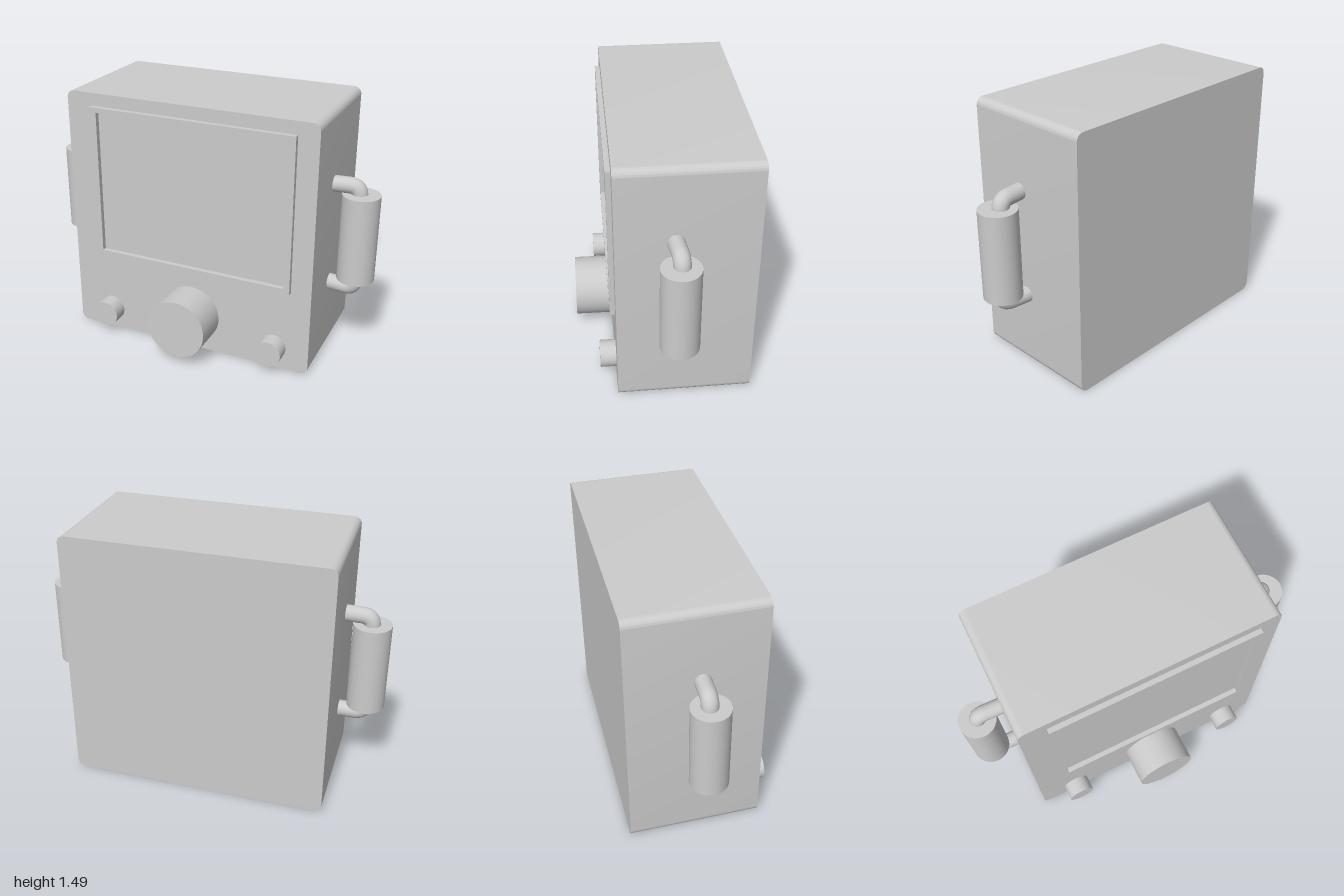
import * as THREE from 'three';
import { toCreasedNormals } from 'three/addons/utils/BufferGeometryUtils.js';

const grey = new THREE.MeshStandardMaterial({ color: 0xcccccc });

function add(parent, name, geometry, x = 0, y = 0, z = 0) {
  const mesh = new THREE.Mesh(geometry, grey);
  mesh.name = name;
  mesh.position.set(x, y, z);
  parent.add(mesh);
  return mesh;
}

// Rectangle outline with rounded corners
function roundedRect(x0, y0, x1, y1, r) {
  const s = new THREE.Shape();
  s.absarc(x1 - r, y0 + r, r, -Math.PI / 2, 0);
  s.absarc(x1 - r, y1 - r, r, 0, Math.PI / 2);
  s.absarc(x0 + r, y1 - r, r, Math.PI / 2, Math.PI);
  s.absarc(x0 + r, y0 + r, r, Math.PI, Math.PI * 1.5);
  s.closePath();
  return s;
}

const rectPoints = (x0, y0, x1, y1) =>
  [[x0, y0], [x1, y0], [x1, y1], [x0, y1]].map(([x, y]) => new THREE.Vector2(x, y));

// Round control sticking out of the front panel
function addKnob(parent, name, x, y, radius, frontZ, tilt) {
  const backZ = 0.24;
  const geo = new THREE.CylinderGeometry(radius, radius, frontZ - backZ, 32);
  geo.rotateX(Math.PI / 2);
  add(parent, name, geo, x, y, (frontZ + backZ) / 2).rotation.x = tilt;
}

// Bent rod running out from the case wall and turning into the grip
function rodGeometry(wall, corner, end) {
  const bend = 0.055;
  const toward = (a, b) => a.clone().add(b.clone().sub(a).setLength(bend));
  const p = toward(corner, wall);
  const q = toward(corner, end);
  const path = new THREE.CurvePath();
  path.add(new THREE.LineCurve3(wall, p));
  path.add(new THREE.QuadraticBezierCurve3(p, corner, q));
  path.add(new THREE.LineCurve3(q, end));
  return new THREE.TubeGeometry(path, 28, 0.046, 20, false);
}

function addHandle(parent, name, side, gripX, gripZ, rods) {
  const handle = new THREE.Group();
  handle.name = name;
  add(handle, 'grip', new THREE.CylinderGeometry(0.106, 0.106, 0.512, 32), side * gripX, 0.757, gripZ);
  for (const { part, y, endY, x, wallZ, endZ } of rods) {
    const wall = new THREE.Vector3(side * 0.7, y, wallZ);
    const corner = new THREE.Vector3(side * x, y, endZ);
    const end = new THREE.Vector3(side * x, endY, endZ);
    add(handle, part, rodGeometry(wall, corner, end));
  }
  parent.add(handle);
}

export function createModel() {
  const model = new THREE.Group();
  model.name = 'consoleMonitor';

  // Case, rounded along its four long edges
  const caseGeo = new THREE.ExtrudeGeometry(roundedRect(-0.748, 0, 0.74, 1.485, 0.042), {
    depth: 0.747, bevelEnabled: false, curveSegments: 8,
  });
  add(model, 'case', toCreasedNormals(caseGeo, 0.6), 0, 0, -0.481);

  // Raised rim around the screen
  const rim = new THREE.Shape(rectPoints(-0.595, 0.502, 0.622, 1.411));
  rim.holes.push(new THREE.Path(rectPoints(-0.552, 0.532, 0.584, 1.383).reverse()));
  add(model, 'screenRim', new THREE.ExtrudeGeometry(rim, { depth: 0.04, bevelEnabled: false }), 0, 0, 0.254);

  // Dials
  addKnob(model, 'mainDial', 0.016, 0.225, 0.175, 0.479, -0.015);
  addKnob(model, 'rightKnob', -0.52, 0.132, 0.077, 0.357, 0);
  addKnob(model, 'leftKnob', 0.529, 0.132, 0.077, 0.357, 0);

  // Side handles
  addHandle(model, 'leftHandle', 1, 0.893, -0.054, [
    { part: 'upperRod', y: 1.056, endY: 0.97, x: 0.88, wallZ: -0.042, endZ: -0.06 },
    { part: 'lowerRod', y: 0.444, endY: 0.53, x: 0.893, wallZ: -0.066, endZ: -0.042 },
  ]);
  addHandle(model, 'rightHandle', -1, 0.896, -0.078, [
    { part: 'upperRod', y: 1.06, endY: 0.97, x: 0.892, wallZ: -0.076, endZ: -0.082 },
    { part: 'lowerRod', y: 0.446, endY: 0.53, x: 0.892, wallZ: -0.076, endZ: -0.076 },
  ]);

  return model;
}
